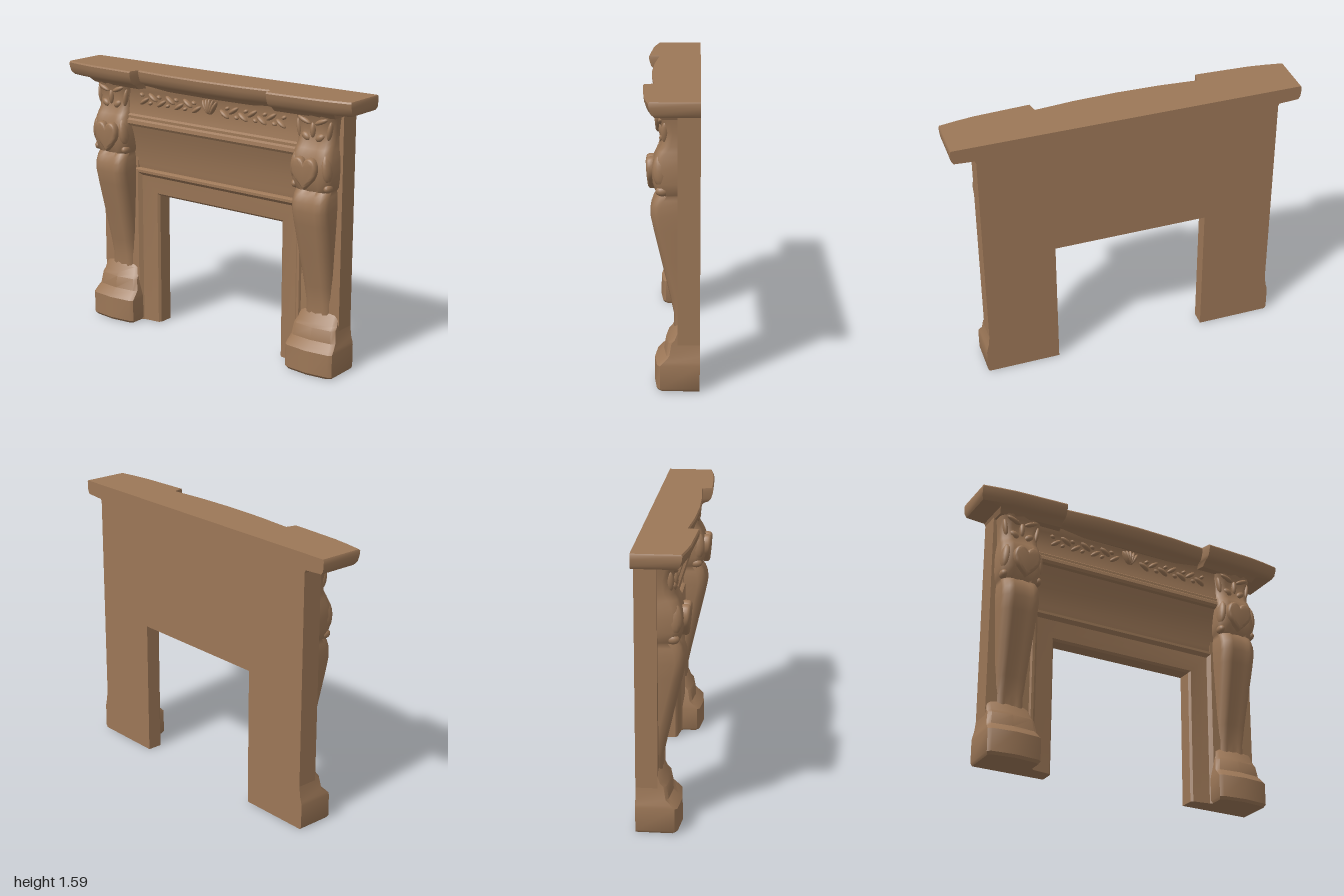
import * as THREE from 'three';
import { toCreasedNormals } from 'three/addons/utils/BufferGeometryUtils.js';

const wood = new THREE.MeshStandardMaterial({ color: 0x9c7757 });
wood.name = 'warm brown wood';

function add(parent, name, geometry) {
  const mesh = new THREE.Mesh(geometry, wood);
  mesh.name = name;
  parent.add(mesh);
  return mesh;
}

// Skins a list of rings (each a list of [x, y, z]) and caps both ends.
function loft(rings, crease = 0.7) {
  const area = rings[0].reduce((sum, p, i, r) => {
    const q = r[(i + 1) % r.length];
    return sum + p[0] * q[2] - q[0] * p[2];
  }, 0);
  if (area > 0) rings = rings.map((r) => [...r].reverse());
  const n = rings[0].length, last = rings.length - 1, index = [];
  for (let i = 0; i < last; i++) {
    for (let j = 0; j < n; j++) {
      const k = (j + 1) % n;
      const a = i * n + j, b = i * n + k, c = b + n, d = a + n;
      index.push(a, b, c, a, c, d);
    }
  }
  const cap = (i, up) => {
    const outline = rings[i].map((p) => new THREE.Vector2(p[0], -p[2]));
    for (const [a, b, c] of THREE.ShapeUtils.triangulateShape(outline, [])) {
      if (up) index.push(i * n + a, i * n + b, i * n + c);
      else index.push(i * n + a, i * n + c, i * n + b);
    }
  };
  cap(0, false);
  cap(last, rings[last][0][1] > rings[0][0][1]);
  const geometry = new THREE.BufferGeometry();
  geometry.setAttribute('position', new THREE.Float32BufferAttribute(rings.flat(2), 3));
  geometry.setIndex(index);
  return toCreasedNormals(geometry, crease);
}

function box(x0, x1, y0, y1, z0, z1) {
  return new THREE.BoxGeometry(x1 - x0, y1 - y0, z1 - z0)
    .translate((x0 + x1) / 2, (y0 + y1) / 2, (z0 + z1) / 2);
}

// Small carved lump: a squashed, turned sphere.
function lump(parent, name, x, y, z, sx, sy, sz, turn = 0) {
  const mesh = add(parent, name, new THREE.SphereGeometry(1, 14, 10));
  mesh.position.set(x, y, z);
  mesh.scale.set(sx, sy, sz);
  mesh.rotation.z = turn;
}

// Shelf with a stepped, bowed front and a bed moulding under it.
function shelf() {
  const half = [[1, 0.11], [0.9, 0.127], [0.8, 0.14], [0.64, 0.148], [0.485, 0.155], [0.47, 0.095], [0.25, 0.113]];
  const front = [...half.map(([x, z]) => [-x, z]), [0, 0.12], ...[...half].reverse()];
  const levels = [[1.475, 0.085, 0.14], [1.503, 0.052, 0.128], [1.51, 0.03, 0.015], [1.528, 0.014, 0.003],
    [1.56, 0.003, 0], [1.583, 0, 0], [1.592, 0.006, 0.004]];
  return loft(levels.map(([y, dz, dx]) => [[-1 + dx, y, -0.155],
    ...front.map(([x, z]) => [Math.abs(x) === 1 ? x * (1 - dx) : Math.max(-1 + dx, Math.min(1 - dx, x)), y, z - dz]),
    [1 - dx, y, -0.155]]), 0.6);
}

// Mitred, bevelled frame around the opening.
function openingFrame() {
  const profile = [[0, -0.155], [0, -0.07], [0.012, -0.057], [0.06, -0.05], [0.115, -0.042],
    [0.135, -0.022], [0.15, -0.022], [0.16, -0.04], [0.16, -0.155]];
  const corners = [[-1, 0], [-1, 1], [1, 1], [1, 0]];
  return loft(corners.map(([s, top]) => profile.map(([d, z]) => [s * (0.45 + d), top ? 0.81 + d : 0, z])), 0.6);
}

// Cove, ledge and frieze above the opening, as one profile run along x.
function entablature() {
  const profile = [[-0.155, 0.9], [-0.06, 0.9], [-0.045, 0.955], [-0.04, 1.0], [-0.025, 1.1], [0, 1.19], [0.015, 1.235],
    [0.035, 1.24], [0.045, 1.255], [0.042, 1.275], [0.03, 1.285], [0.03, 1.3], [0.018, 1.31],
    [0.012, 1.35], [0.012, 1.45], [0.03, 1.49], [0.03, 1.52], [-0.155, 1.52]];
  const shape = new THREE.Shape(profile.map(([z, y]) => new THREE.Vector2(-z, y)));
  const geometry = new THREE.ExtrudeGeometry(shape, { depth: 1.24, bevelEnabled: false });
  return toCreasedNormals(geometry.rotateY(Math.PI / 2).translate(-0.62, 0, 0), 0.6);
}

// Swelling console leg: [y, half width, front z] rows with a softly ridged front.
function console_(s) {
  const rows = [[0.3, 0.092, -0.015], [0.4, 0.09, -0.015], [0.5, 0.092, 0.006], [0.7, 0.102, 0.052], [0.87, 0.111, 0.092],
    [0.95, 0.114, 0.109], [1.0, 0.114, 0.107], [1.04, 0.112, 0.093], [1.065, 0.11, 0.075], [1.08, 0.12, 0.082],
    [1.13, 0.126, 0.098], [1.2, 0.128, 0.102], [1.26, 0.124, 0.092], [1.3, 0.118, 0.074], [1.33, 0.116, 0.055],
    [1.4, 0.119, 0.045], [1.46, 0.125, 0.058], [1.5, 0.13, 0.075]];
  const section = [[-1, 0.055], [-0.93, 0.03], [-0.75, 0.01], [-0.5, 0.002], [-0.36, 0.008], [0, 0],
    [0.36, 0.008], [0.5, 0.002], [0.75, 0.01], [0.93, 0.03], [1, 0.055]];
  return loft(rows.map(([y, w, f]) => [[s * (0.722 - w), y, -0.09],
    ...section.map(([u, d]) => [s * (0.722 + u * w), y, f - d]), [s * (0.722 + w), y, -0.09]]), 0.9);
}

// Moulded plinth: [y, inner x, outer x, front z] rows.
function plinth(s) {
  const rows = [[0, 0.578, 0.875, 0.076], [0.015, 0.57, 0.885, 0.088], [0.145, 0.57, 0.885, 0.087], [0.165, 0.572, 0.882, 0.068],
    [0.195, 0.577, 0.873, 0.038], [0.265, 0.588, 0.864, 0.026], [0.285, 0.594, 0.862, 0.008], [0.33, 0.605, 0.858, -0.01],
    [0.365, 0.625, 0.85, -0.04]];
  return loft(rows.map(([y, a, b, f]) => [[a, -0.155], [a, f - 0.03], [a + 0.02, f - 0.014], [(a + b) / 2, f],
    [b - 0.02, f - 0.014], [b, f - 0.03], [b, -0.155]].map(([x, z]) => [s * x, y, z])), 0.6);
}

// Heart-shaped leaf with a pointed tip.
function heartLeaf() {
  const shape = new THREE.Shape();
  shape.moveTo(0, -0.095);
  shape.bezierCurveTo(0.03, -0.06, 0.085, -0.03, 0.078, 0.03);
  shape.bezierCurveTo(0.07, 0.09, 0.015, 0.09, 0, 0.05);
  shape.bezierCurveTo(-0.015, 0.09, -0.07, 0.09, -0.078, 0.03);
  shape.bezierCurveTo(-0.085, -0.03, -0.03, -0.06, 0, -0.095);
  const geometry = new THREE.ExtrudeGeometry(shape, { depth: 0.02, bevelThickness: 0.018, bevelSize: 0.018,
    bevelOffset: -0.015, bevelSegments: 4, curveSegments: 8 });
  return toCreasedNormals(geometry, 0.9);
}

export function createModel() {
  const model = new THREE.Group();
  model.name = 'fireplace surround';
  add(model, 'mantel shelf', shelf());
  add(model, 'opening frame', openingFrame());
  add(model, 'entablature', entablature());

  // Shell in the middle of the frieze
  const frieze = new THREE.Group();
  frieze.name = 'frieze carving';
  model.add(frieze);
  for (let i = -2; i <= 2; i++) lump(frieze, 'shell rib', i * 0.014, 1.43 - Math.abs(i) * 0.004, 0.022, 0.011, 0.045, 0.022, -i * 0.25);

  for (const s of [-1, 1]) {
    const side = new THREE.Group();
    side.name = s > 0 ? 'left pilaster' : 'right pilaster';
    model.add(side);
    const [a, b] = s > 0 ? [0.59, 0.865] : [-0.865, -0.59];
    add(side, 'backing post', box(a, b, 0.02, 1.51, -0.155, -0.035));
    add(side, 'console', console_(s));
    add(side, 'plinth', plinth(s));

    // Carved leaf and side scrolls on the console head
    const leaf = add(side, 'heart leaf', heartLeaf());
    leaf.position.set(s * 0.712, 1.178, 0.09);
    leaf.rotation.x = 0.06;
    for (const e of [-1, 1]) {
      const x = s * 0.722 + e * 0.1;
      lump(side, 'side scroll', x, 1.2, 0.05, 0.028, 0.085, 0.045, e * 0.1);
      lump(side, 'scroll tip', x + e * 0.005, 1.09, 0.045, 0.022, 0.026, 0.035);
      // Capital foliage
      lump(side, 'capital brow', s * 0.722 + e * 0.055, 1.45, 0.05, 0.045, 0.014, 0.018, e * 0.4);
      lump(side, 'capital cheek', s * 0.722 + e * 0.045, 1.36, 0.043, 0.03, 0.02, 0.018, e * 0.6);
      lump(side, 'capital leaf', s * 0.722 + e * 0.098, 1.4, 0.03, 0.014, 0.055, 0.02, -e * 0.15);
    }
    lump(side, 'capital bud', s * 0.722, 1.4, 0.045, 0.016, 0.045, 0.02);

    // Scrolling leaves along the frieze
    for (let i = 0; i < 7; i++) {
      const x = s * (0.1 + i * 0.065), wave = i % 2 ? 1 : -1;
      lump(frieze, 'frieze leaf', x, 1.41 + wave * 0.014, 0.015, 0.038, 0.013, 0.02, s * wave * 0.6);
      lump(frieze, 'frieze bud', x + s * 0.02, 1.41 - wave * 0.022, 0.014, 0.016, 0.011, 0.016, -s * wave * 0.5);
    }
  }
  return model;
}
